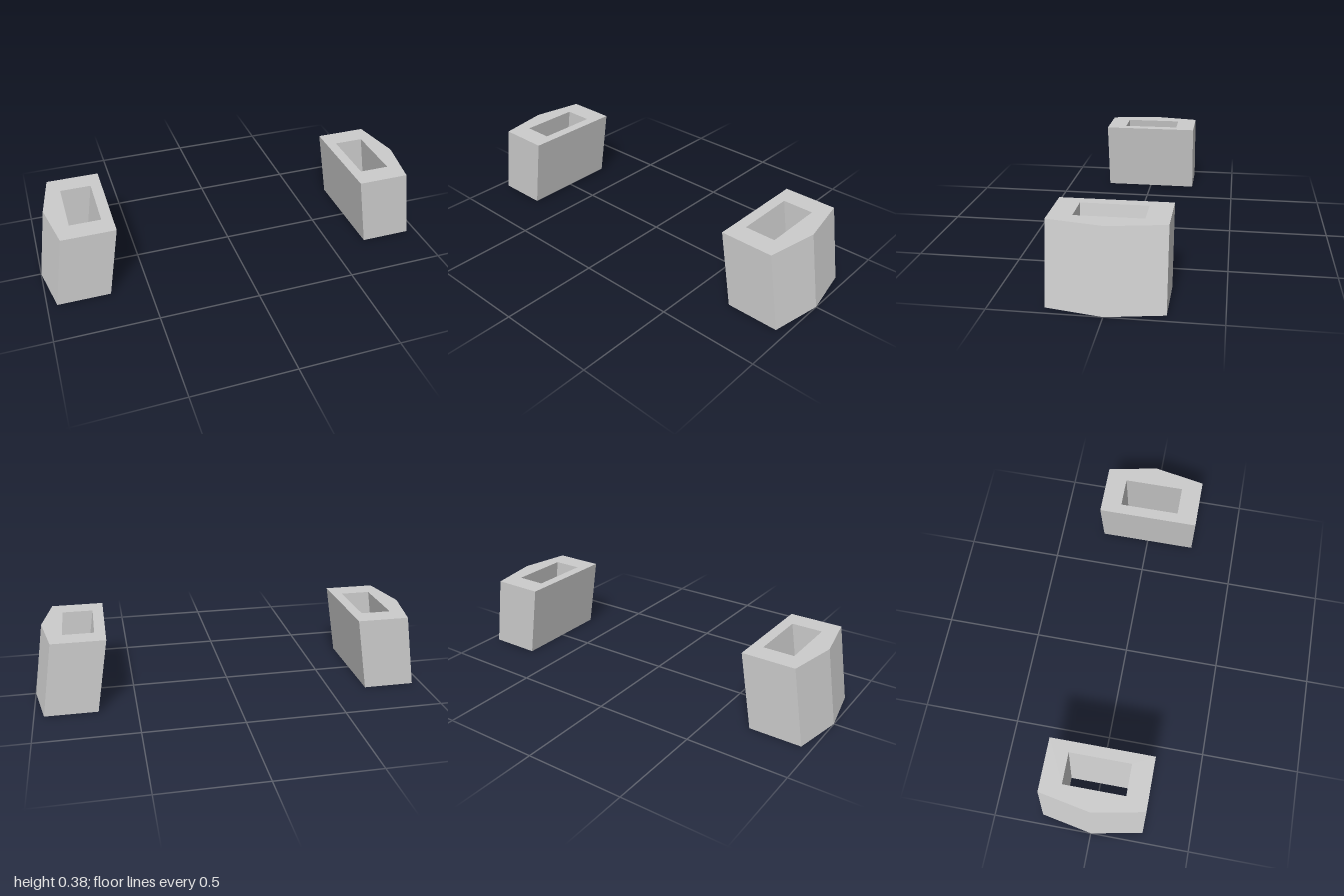
import * as THREE from 'three';

const HEIGHT = 0.377;
const LEAN = 0.062; // how far the top shifts inward

// Five-sided hollow block, leaning inward; side is +1 (left) or -1 (right)
function makeBlock(side) {
  const points = (list) => list.map(([x, z]) => new THREE.Vector2(side * x, z));
  const outline = new THREE.Shape(points([
    [0.69, -0.258], [0.952, -0.258], [1, 0], [0.952, 0.258], [0.69, 0.258],
  ]));
  // rectangular slot running through the whole height
  outline.holes.push(new THREE.Path(points([
    [0.744, -0.153], [0.744, 0.153], [0.897, 0.153], [0.897, -0.153],
  ])));

  const geometry = new THREE.ExtrudeGeometry(outline, { depth: HEIGHT, bevelEnabled: false });
  geometry.rotateX(-Math.PI / 2);

  // shear the upright block toward the centre
  const pos = geometry.attributes.position;
  for (let i = 0; i < pos.count; i++) {
    pos.setX(i, pos.getX(i) - side * LEAN * pos.getY(i) / HEIGHT);
  }
  geometry.computeVertexNormals();

  const material = new THREE.MeshStandardMaterial({ color: 0xcccccc, flatShading: true });
  const mesh = new THREE.Mesh(geometry, material);
  mesh.name = side > 0 ? 'leftHollowBlock' : 'rightHollowBlock';
  return mesh;
}

export function createModel() {
  const model = new THREE.Group();
  model.name = 'hollowBlockPair';
  for (const side of [1, -1]) model.add(makeBlock(side));
  return model;
}
